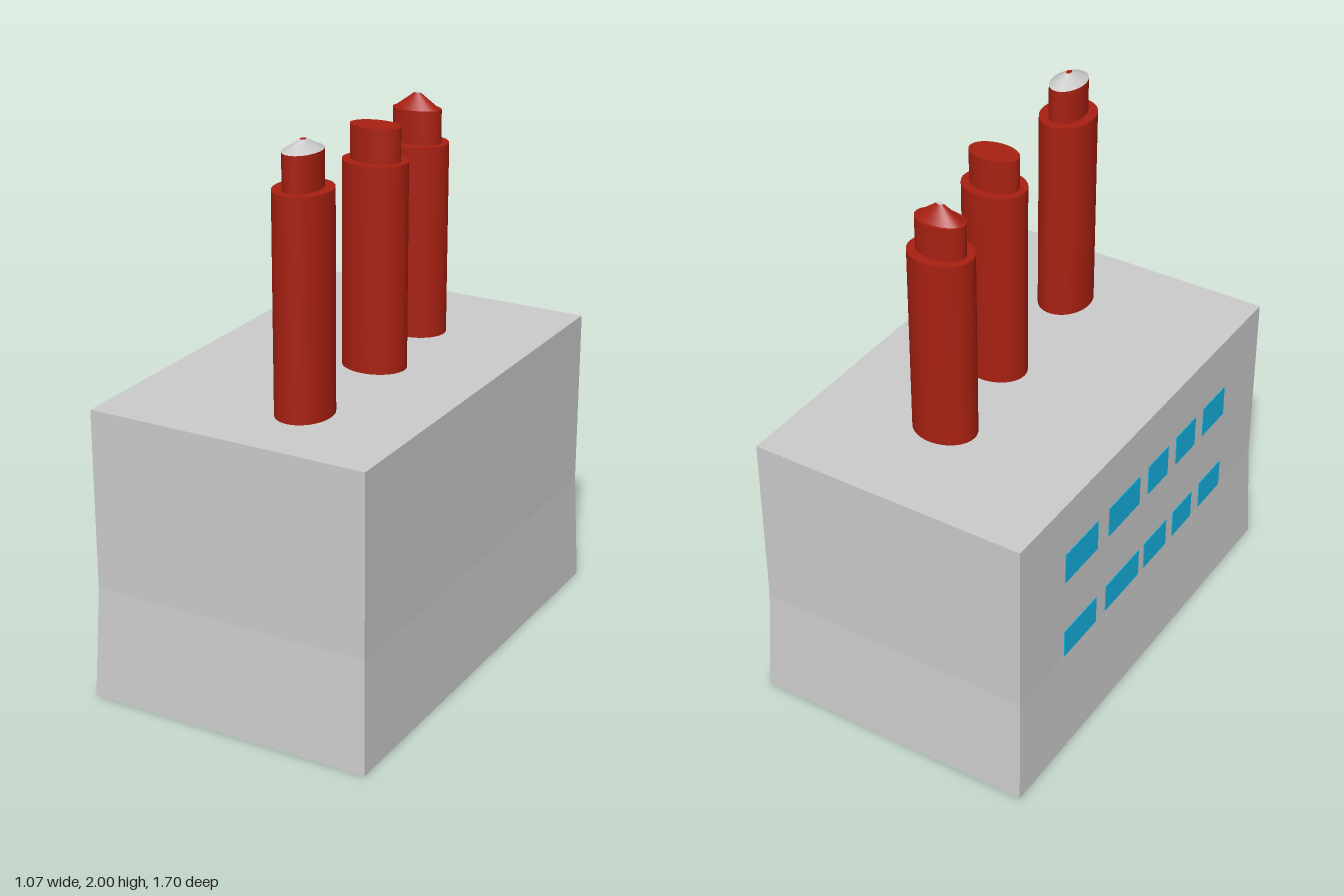
import * as THREE from 'three';

const grey = new THREE.MeshStandardMaterial({ color: 0xcccccc });
const red = new THREE.MeshStandardMaterial({ color: 0xa82012 });
const blue = new THREE.MeshStandardMaterial({ color: 0x15b3e1 });

function add(parent, name, geometry, material, x = 0, y = 0, z = 0) {
  const mesh = new THREE.Mesh(geometry, material);
  mesh.name = name;
  mesh.position.set(x, y, z);
  parent.add(mesh);
  return mesh;
}

// Upright elliptical cylinder or truncated cone between two heights
function ellipse(parent, name, rx, rz, y0, y1, material, taper = 1) {
  const geo = new THREE.CylinderGeometry(taper, 1, y1 - y0, 48).scale(rx, 1, rz);
  return add(parent, name, geo, material, 0, (y0 + y1) / 2, 0);
}

// Hall with straight walls above a flared foot
function hallGeometry() {
  const geo = new THREE.BoxGeometry(1, 1, 1, 1, 2, 1).toNonIndexed();
  const p = geo.attributes.position;
  for (let i = 0; i < p.count; i++) {
    const low = p.getY(i) < -0.25;
    const y = low ? 0 : p.getY(i) > 0.25 ? 1.07 : 0.41;
    p.setXYZ(i, Math.sign(p.getX(i)) * (low ? 0.535 : 0.521), y, Math.sign(p.getZ(i)) * (low ? 0.85 : 0.826));
  }
  geo.computeVertexNormals();
  return geo;
}

export function createModel() {
  const model = new THREE.Group();
  model.name = 'factory';
  add(model, 'hall', hallGeometry(), grey);

  // Chimneys: wide stack, narrower neck, optional conical cap with a flat tip
  const chimneys = [
    { name: 'frontChimney', x: 0.11, z: 0.495, r: [0.097, 0.118], n: [0.06, 0.09], y: [1.84, 1.965],
      cap: { r: [0.06, 0.09], top: 2, taper: 0.15, mat: grey, tip: red } },
    { name: 'middleChimney', x: 0.095, z: -0.005, r: [0.118, 0.097], n: [0.093, 0.06], y: [1.81, 1.93] },
    { name: 'backChimney', x: 0.045, z: -0.4, r: [0.118, 0.097], n: [0.092, 0.06], y: [1.775, 1.895],
      cap: { r: [0.086, 0.05], top: 1.95, taper: 0.15, mat: red, tip: grey } },
  ];
  for (const c of chimneys) {
    const g = new THREE.Group();
    g.name = c.name;
    g.position.set(c.x, 0, c.z);
    model.add(g);
    ellipse(g, 'stack', ...c.r, 1.05, c.y[0], red);
    ellipse(g, 'neck', ...c.n, c.y[0] - 0.02, c.y[1], red);
    if (c.cap) {
      const { r, top, taper, mat, tip } = c.cap;
      ellipse(g, 'cap', ...r, c.y[1], top - 0.001, mat, taper);
      ellipse(g, 'capTip', r[0] * taper, r[1] * taper, top - 0.003, top, tip);
    }
  }

  // Two rows of windows on the right wall: z start and end of each pane
  const rows = [
    { y: 0.802, h: 0.12, panes: [[-0.545, -0.335], [-0.26, -0.05], [0.01, 0.15], [0.21, 0.35], [0.41, 0.57]] },
    { y: 0.468, h: 0.11, panes: [[-0.545, -0.335], [-0.27, -0.04], [0, 0.16], [0.21, 0.35], [0.41, 0.57]] },
  ];
  for (const { y, h, panes } of rows) {
    for (const [a, b] of panes) {
      add(model, 'window', new THREE.BoxGeometry(0.006, h, b - a), blue, -0.521, y, (a + b) / 2);
    }
  }
  return model;
}
